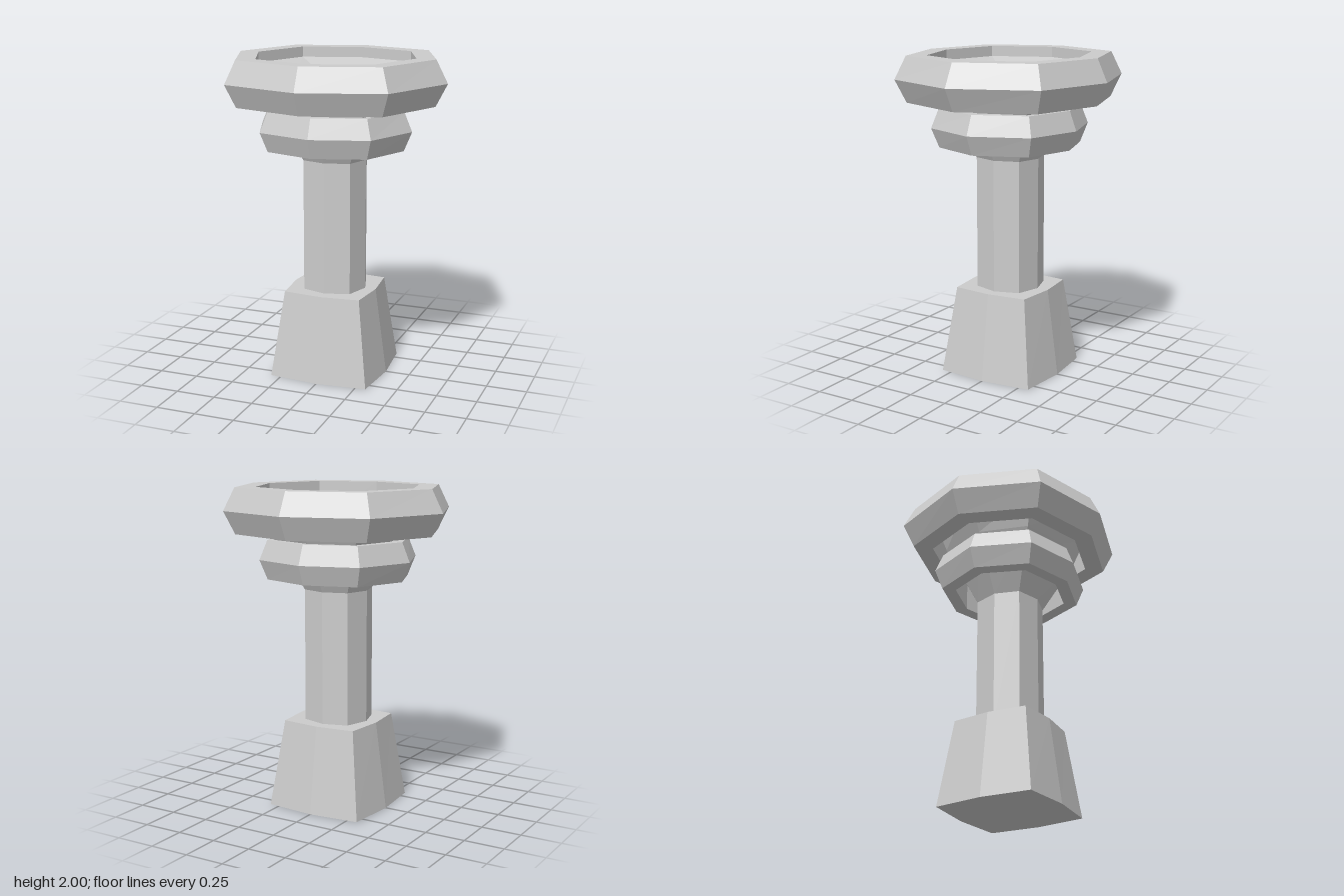
import * as THREE from 'three';

const material = new THREE.MeshStandardMaterial({ color: 0xcccccc, flatShading: true });

// Eight-sided loft. Each section is [y, x radius, z radius, diagonal corner offset];
// sections run up the outside, then inwards over the top.
function loft(name, sections) {
  const rings = sections.map(([y, rx, rz, d]) => {
    const outline = [[rx, 0], [d, d], [0, rz], [-d, d], [-rx, 0], [-d, -d], [0, -rz], [d, -d]];
    return outline.map(([x, z]) => new THREE.Vector3(x, y, z));
  });
  const points = [];
  const triangle = (a, b, c) => {
    if (!a.equals(b) && !b.equals(c) && !c.equals(a)) points.push(a, b, c);
  };
  for (let s = 0; s < rings.length - 1; s++) {
    for (let i = 0; i < 8; i++) {
      const j = (i + 1) % 8;
      const lower = rings[s], upper = rings[s + 1];
      triangle(lower[i], upper[i], lower[j]);
      triangle(lower[j], upper[i], upper[j]);
    }
  }
  const geometry = new THREE.BufferGeometry().setFromPoints(points);
  geometry.computeVertexNormals();
  const mesh = new THREE.Mesh(geometry, material);
  mesh.name = name;
  return mesh;
}

// Collar with a pointed outer edge and an upright inner wall
function collar(name, middle, halfHeight, scale) {
  const section = (dy, rx, rz, d) => [middle + dy * halfHeight, rx * scale, rz * scale, d * scale];
  return loft(name, [
    section(-1, 0.632, 0.59, 0.453),
    section(0, 0.705, 0.655, 0.503),
    section(1, 0.632, 0.59, 0.453),
    section(1, 0.51, 0.473, 0.364),
    section(-1, 0.51, 0.473, 0.364),
    section(-1, 0.632, 0.59, 0.453),
  ]);
}

export function createModel() {
  const model = new THREE.Group();
  model.name = 'pedestalBasin';

  // Tapered plinth, nearly square with slightly bowed sides
  model.add(loft('base', [
    [0, 0, 0, 0],
    [0, 0.345, 0.345, 0.315],
    [0.545, 0.27, 0.27, 0.245],
    [0.545, 0, 0, 0],
  ]));

  // Octagonal shaft
  model.add(loft('column', [
    [0.5, 0.2, 0.197, 0.152],
    [1.37, 0.2, 0.197, 0.152],
  ]));

  // Flared bowl with a shallow dished floor
  model.add(loft('bowl', [
    [1.37, 0.2, 0.197, 0.152],
    [1.72, 0.39, 0.385, 0.3],
    [1.935, 0.51, 0.473, 0.364],
    [1.875, 0.255, 0.253, 0.19],
    [1.875, 0, 0, 0],
  ]));

  model.add(collar('lowerCollar', 1.56, 0.12, 0.697));
  model.add(collar('rim', 1.86, 0.14, 1));

  return model;
}
